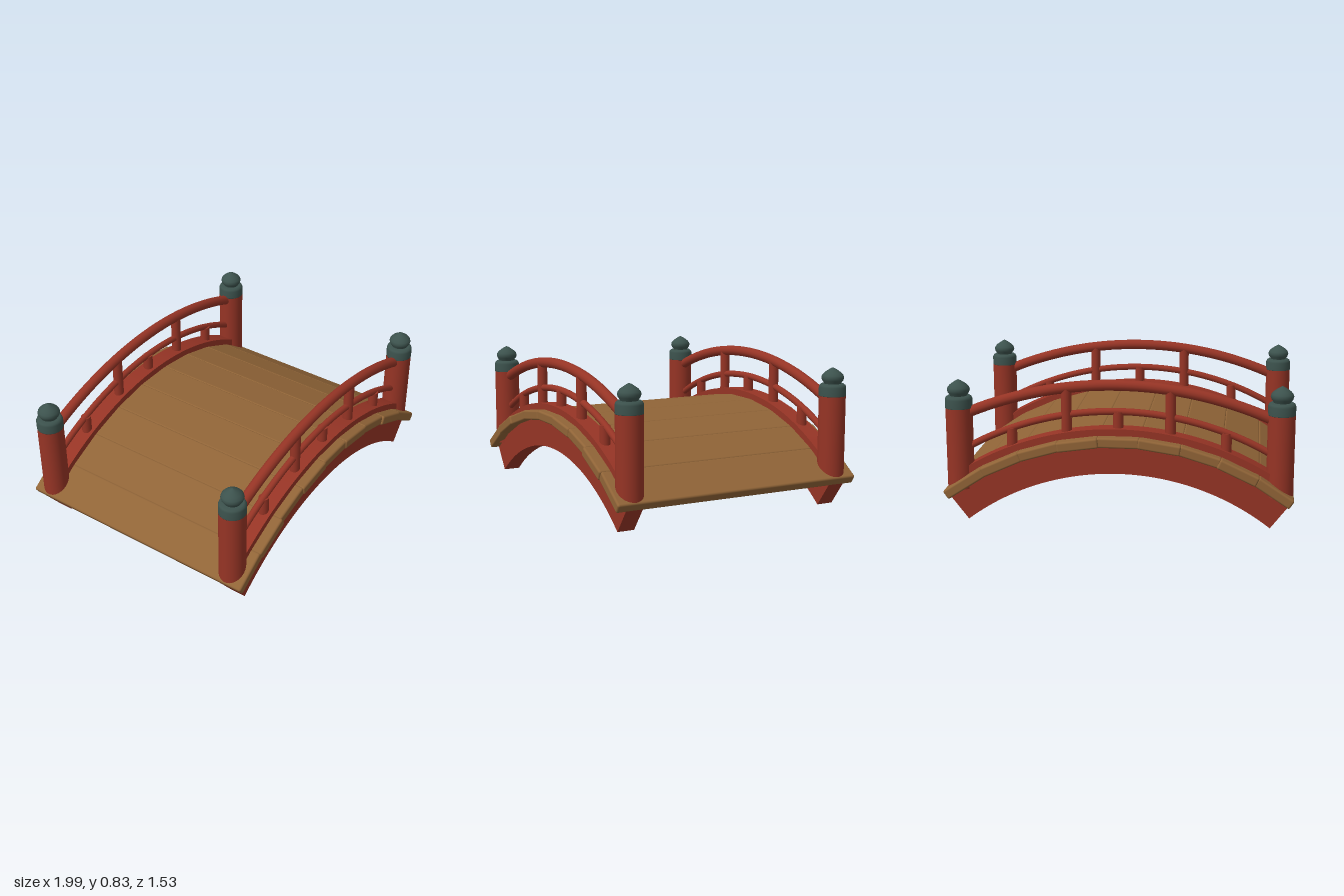
import * as THREE from 'three';
import { RoundedBoxGeometry } from 'three/addons/geometries/RoundedBoxGeometry.js';

const CY = -1.12;        // height of the common arc centre
const SIDE_Z = 0.648;    // distance of each railing from the middle
const POST_X = 0.914;

const heightAt = (x, r, cy = CY) => cy + Math.sqrt(r * r - x * x);

// Curved bar with a rectangular section, following an arc
function arcBeam(inner, outer, angle, width) {
  const a = Math.PI / 2 - angle, b = Math.PI / 2 + angle;
  const shape = new THREE.Shape();
  shape.absarc(0, CY, outer, a, b, false);
  shape.absarc(0, CY, inner, b, a, true);
  const geo = new THREE.ExtrudeGeometry(shape, { depth: width, bevelEnabled: false, curveSegments: 40 });
  return geo.translate(0, 0, -width / 2);
}

// Round rail following an arc between the end posts
function arcRail(r, cy, thickness) {
  const points = [];
  for (let i = 0; i <= 16; i++) {
    const x = -0.9 + (1.8 * i) / 16;
    points.push(new THREE.Vector3(x, heightAt(x, r, cy), 0));
  }
  return new THREE.TubeGeometry(new THREE.CatmullRomCurve3(points), 48, thickness, 14);
}

export function createModel() {
  const red = new THREE.MeshStandardMaterial({ color: 0x963425 });
  const wood = new THREE.MeshStandardMaterial({ color: 0x906437 });
  const bronze = new THREE.MeshStandardMaterial({ color: 0x3c524d });
  red.name = 'red paint';
  wood.name = 'plank wood';
  bronze.name = 'dark green bronze';

  const model = new THREE.Group();
  model.name = 'archedBridge';
  const add = (parent, name, geo, mat, x = 0, y = 0, z = 0) => {
    const mesh = new THREE.Mesh(geo, mat);
    mesh.name = name;
    mesh.position.set(x, y, z);
    parent.add(mesh);
    return mesh;
  };

  // Deck planks, each tangent to the arc and slightly uneven in length
  const deck = new THREE.Group();
  deck.name = 'deck';
  model.add(deck);
  const edges = [-0.995, -0.8, -0.585, -0.36, -0.125, 0.11, 0.34, 0.565, 0.78, 0.995];
  const backs = [0.758, 0.763, 0.754, 0.76, 0.756, 0.768, 0.757, 0.762, 0.766];
  const fronts = [0.755, 0.76, 0.75, 0.757, 0.752, 0.757, 0.752, 0.763, 0.755];
  const topR = 1.637, thick = 0.058;
  for (let i = 0; i < 9; i++) {
    const a = Math.asin(edges[i] / topR), b = Math.asin(edges[i + 1] / topR);
    const mid = (a + b) / 2, half = (b - a) / 2;
    const r = topR * Math.cos(half) + 0.002 - thick / 2;
    const geo = new RoundedBoxGeometry(2 * topR * Math.sin(half) + 0.006, thick, backs[i] + fronts[i], 3, 0.012);
    const plank = add(deck, 'plank', geo, wood, r * Math.sin(mid), CY + r * Math.cos(mid), (fronts[i] - backs[i]) / 2);
    plank.rotation.z = -mid;
  }

  // Shared shapes for both sides
  const beamGeo = arcBeam(1.415, 1.595, 0.657, 0.1);
  const curbGeo = arcBeam(1.6, 1.675, 0.56, 0.1);
  const midRailGeo = arcRail(1.766, CY, 0.02);
  const handR = 2.21, handCY = 0.797 - handR;
  const handRailGeo = arcRail(handR, handCY, 0.031);
  const postGeo = new THREE.CylinderGeometry(0.077, 0.077, 0.48, 32);

  // Cap collar, and onion-shaped finial with a small point
  const collarGeo = new THREE.LatheGeometry([
    [0, 0.65], [0.078, 0.65], [0.078, 0.652], [0.078, 0.7], [0.073, 0.712], [0.062, 0.72], [0, 0.72],
  ].map(([r, y]) => new THREE.Vector2(r, y)), 32);
  const finialGeo = new THREE.LatheGeometry([
    [0.046, 0.712], [0.05, 0.726], [0.06, 0.738], [0.065, 0.754], [0.061, 0.768],
    [0.049, 0.782], [0.034, 0.793], [0.016, 0.805], [0, 0.813],
  ].map(([r, y]) => new THREE.Vector2(r, y)), 32);

  for (const s of [1, -1]) {
    const side = new THREE.Group();
    side.name = s > 0 ? 'frontRailing' : 'backRailing';
    side.position.z = s * SIDE_Z;
    model.add(side);

    add(side, 'archBeam', beamGeo, red);
    add(side, 'curb', curbGeo, red);
    add(side, 'middleRail', midRailGeo, red);
    add(side, 'handRail', handRailGeo, red);

    // Tall balusters reach the hand rail, short ones the middle rail
    for (const x of [-0.61, -0.295, 0, 0.295, 0.61]) {
      const tall = Math.abs(x) === 0.295;
      const bottom = heightAt(x, 1.65);
      const top = tall ? heightAt(x, handR, handCY) : heightAt(x, 1.766);
      const geo = new THREE.CylinderGeometry(0.03, 0.03, top - bottom, 16);
      add(side, tall ? 'tallBaluster' : 'shortBaluster', geo, red, x, (top + bottom) / 2);
    }

    // End posts with caps
    for (const x of [-POST_X, POST_X]) {
      add(side, 'endPost', postGeo, red, x, 0.42);
      add(side, 'capCollar', collarGeo, bronze, x);
      add(side, 'capFinial', finialGeo, bronze, x);
    }
  }
  return model;
}
